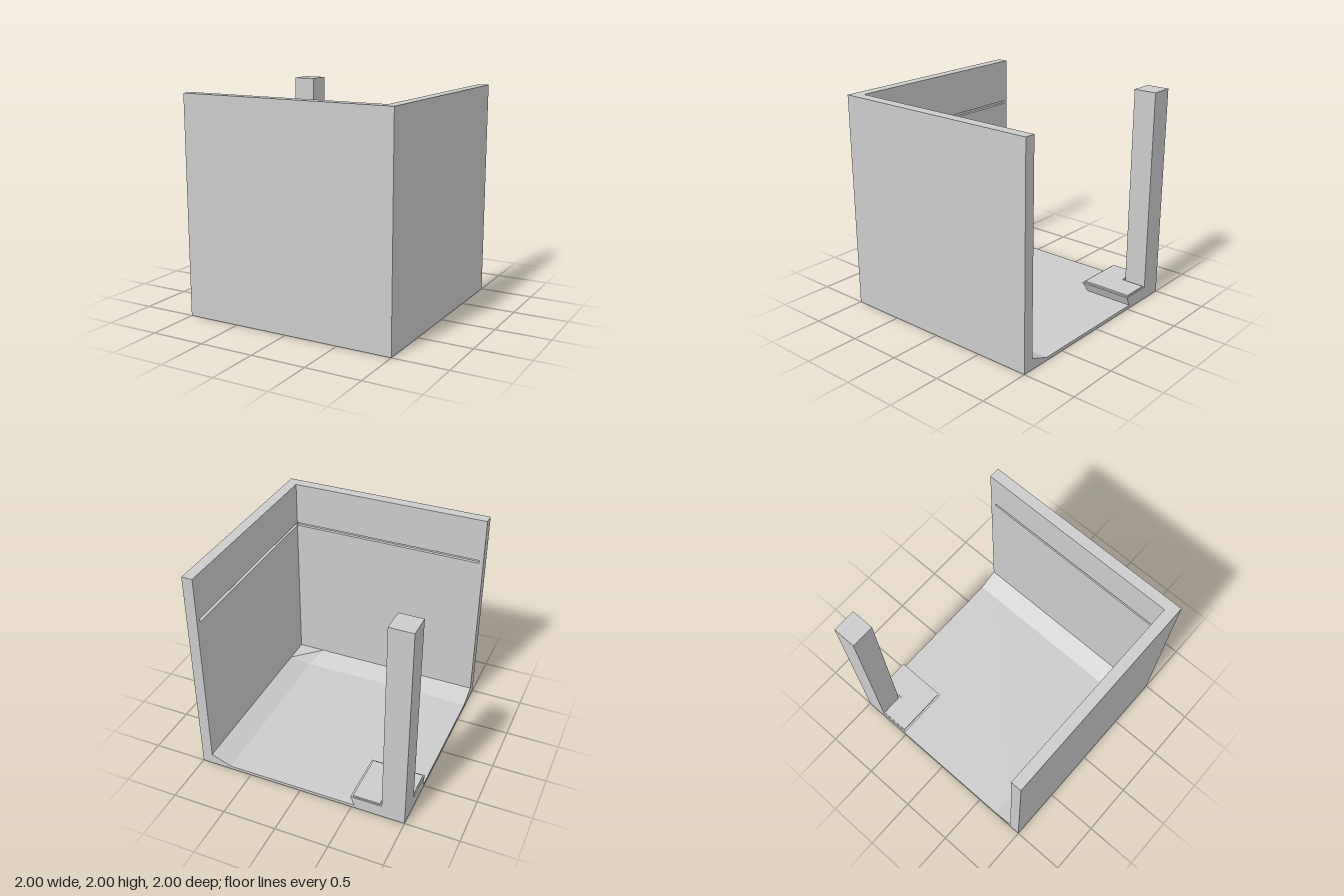
import * as THREE from 'three';

const material = new THREE.MeshStandardMaterial({ color: 0xcccccc, flatShading: true });

function add(parent, name, geometry, x = 0, y = 0, z = 0) {
  const mesh = new THREE.Mesh(geometry, material);
  mesh.name = name;
  mesh.position.set(x, y, z);
  parent.add(mesh);
  return mesh;
}

// Wall on the +z side, with a shallow slot cut into its inner face
function makeWall(name, slotFrom, slotTo) {
  const wall = new THREE.Group();
  wall.name = name;
  const face = new THREE.Shape([[-1, 0], [1, 0], [1, 2], [-1, 2]].map(p => new THREE.Vector2(...p)));
  const slot = [[slotFrom, 1.56], [slotFrom, 1.59], [slotTo, 1.59], [slotTo, 1.56]];
  face.holes.push(new THREE.Path(slot.map(p => new THREE.Vector2(...p))));
  const depth = 0.03;
  add(wall, name + 'SlottedFace', new THREE.ExtrudeGeometry(face, { depth, bevelEnabled: false }), 0, 0, 0.9);
  add(wall, name + 'Panel', new THREE.BoxGeometry(2, 2, 0.07), 0, 1, 0.965);
  return wall;
}

// L-shaped slab around the post: back edge b, inner edge i, outer edge o
function makeLSlab(b, i, o, height) {
  const shape = new THREE.Shape(
    [[i, b], [o, b], [o, o], [b, o], [b, i], [i, i]].map(([x, z]) => new THREE.Vector2(x, -z)));
  const geometry = new THREE.ExtrudeGeometry(shape, { depth: height, bevelEnabled: false });
  return geometry.rotateX(-Math.PI / 2);
}

// Sloped skirting between the floor and the two walls
function makeSkirting() {
  const A = [0.71, 0.03, -1], B = [0.9, 0.105, -1], F = [0.9, 0.03, -1];
  const P = [0.71, 0.03, 0.71], Q = [0.9, 0.105, 0.65], R = [0.64, 0.105, 0.9], C = [0.9, 0.105, 0.9];
  const D = [-1, 0.03, 0.71], E = [-1, 0.105, 0.9], G = [-1, 0.03, 0.9];
  const triangles = [
    A, P, Q, A, Q, B, // along the left wall
    P, R, Q, R, C, Q, // corner
    D, E, R, D, R, P, // along the front wall
    A, B, F, D, G, E, // ends
  ];
  const geometry = new THREE.BufferGeometry();
  geometry.setAttribute('position', new THREE.Float32BufferAttribute(triangles.flat(), 3));
  geometry.computeVertexNormals();
  return geometry;
}

export function createModel() {
  const model = new THREE.Group();
  model.name = 'roomCorner';

  // Thin floor and the sloped skirting
  add(model, 'floor', new THREE.BoxGeometry(1.9, 0.03, 1.9), -0.05, 0.015, -0.05);
  add(model, 'skirting', makeSkirting());

  // Two walls
  model.add(makeWall('frontWall', -0.96, 0.9));
  const leftWall = makeWall('leftWall', -0.9, 0.95);
  leftWall.rotation.y = Math.PI / 2;
  model.add(leftWall);

  // Corner post
  add(model, 'post', new THREE.BoxGeometry(0.215, 1.97, 0.215), -0.8925, 1.015, -0.8925);

  // Plinth round the post, undercut along its outer edges
  const plinth = makeLSlab(-1, -0.785, -0.49, 0.09);
  const p = plinth.attributes.position;
  for (let k = 0; k < p.count; k++) {
    if (p.getY(k) > 0.01) continue;
    if (p.getX(k) > -0.5) p.setX(k, -0.53);
    if (p.getZ(k) > -0.5) p.setZ(k, -0.53);
  }
  plinth.computeVertexNormals();
  add(model, 'plinth', plinth, 0, 0.03, 0);
  add(model, 'plinthTop', makeLSlab(-0.99, -0.765, -0.51, 0.015), 0, 0.12, 0);

  return model;
}
